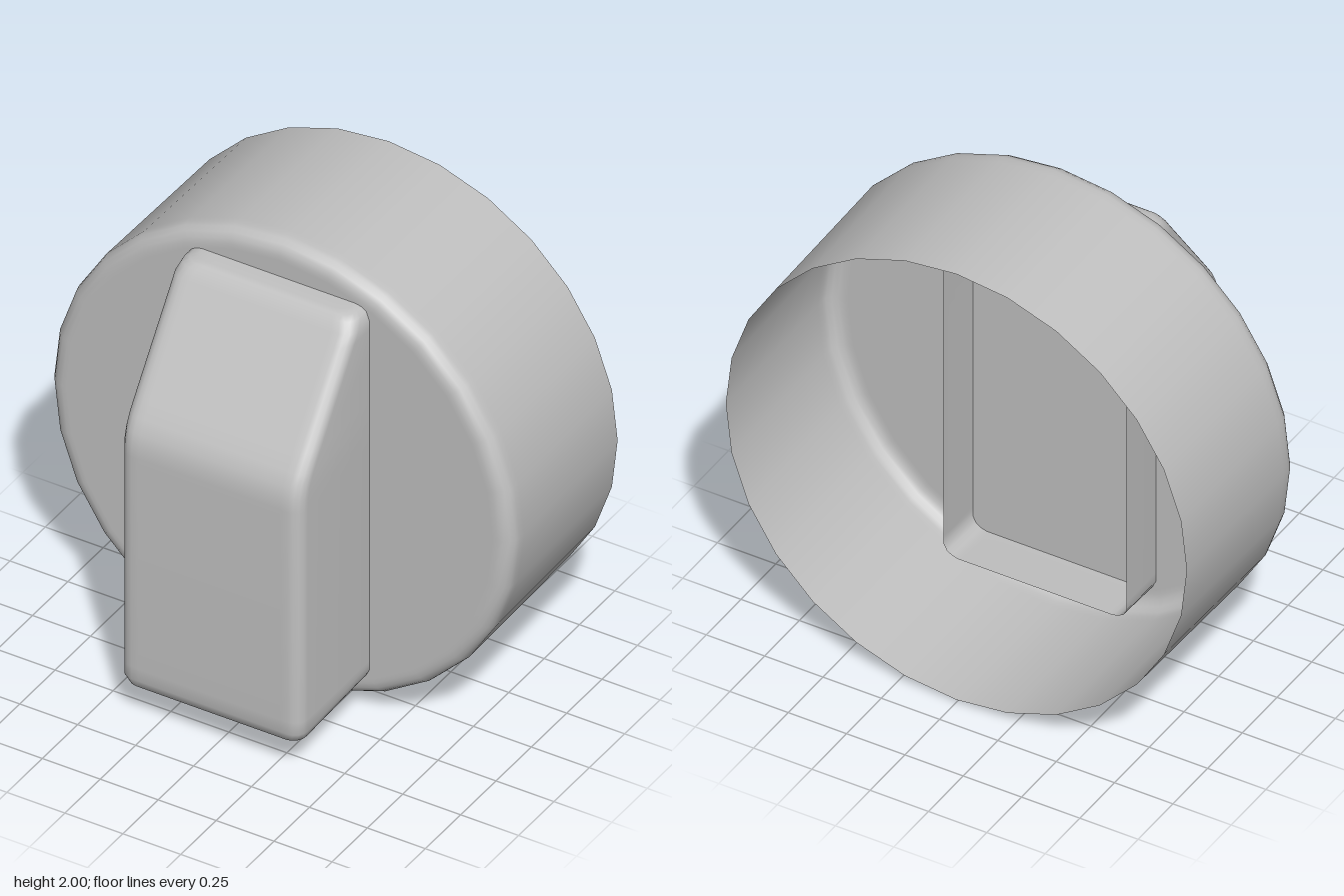
import * as THREE from 'three';
import { toCreasedNormals } from 'three/addons/utils/BufferGeometryUtils.js';

const grey = new THREE.MeshStandardMaterial({ color: 0xc0c0c0, side: THREE.DoubleSide });
grey.name = 'plain grey';

// Round open-backed cup: slightly tapered wall, rounded front edge, flat face
function dialCup() {
  const points = [new THREE.Vector2(0.988, -0.63), new THREE.Vector2(0.999, 0.05)];
  for (let i = 0; i <= 4; i++) {
    const a = (i / 4) * Math.PI / 2;
    points.push(new THREE.Vector2(0.94 + 0.06 * Math.cos(a), 0.08 + 0.06 * Math.sin(a)));
  }
  points.push(new THREE.Vector2(0.92, 0.14), new THREE.Vector2(0, 0.14));
  return new THREE.LatheGeometry(points, 28).rotateX(Math.PI / 2);
}

// Hollow grip lofted upward from U-shaped sections, open at the rear inside the cup
function gripShell() {
  const rear = -0.07, halfWidth = 0.392, edge = 0.055;
  // height, front z, side inset, lean of the underside
  const rows = [
    [0.135, rear, 0.06, 0.05], [0.135, 0.56, 0.06, 0.05], [0.142, 0.595, 0.035, 0.05],
    [0.158, 0.617, 0.014, 0.045], [0.195, 0.63, 0, 0.03], [0.25, 0.63, 0, 0],
    [1.2, 0.63, 0, 0], [1.25, 0.627, 0, 0], [1.3, 0.614, 0, 0], [1.35, 0.588, 0, 0],
    [1.42, 0.538, 0, 0], [1.75, 0.298, 0, 0], [1.79, 0.27, 0, 0],
    [1.828, 0.242, 0.014, 0], [1.842, 0.225, 0.035, 0], [1.848, 0.2, 0.06, 0],
    [1.848, rear, 0.06, 0],
  ];
  const positions = [], indices = [];
  let perRow = 0;
  for (const [y, front, inset, lean] of rows) {
    const w = halfWidth - inset, closed = front === rear;
    const half = [[w, rear]];
    for (let i = 0; i <= 4; i++) {
      const a = (i / 4) * Math.PI / 2;
      half.push([w - edge + edge * Math.cos(a), closed ? rear : front - edge + edge * Math.sin(a)]);
    }
    half.push([w - edge - 0.03, front]);
    const section = [...half.map(([x, z]) => [-x, z]), ...half.slice().reverse()];
    perRow = section.length;
    for (const [x, z] of section) positions.push(x - 0.005, y + lean * (0.6 - z), z);
  }
  for (let r = 0; r < rows.length - 1; r++) {
    for (let c = 0; c < perRow - 1; c++) {
      const a = r * perRow + c, b = a + perRow;
      indices.push(a, a + 1, b + 1, a, b + 1, b);
    }
  }
  const geometry = new THREE.BufferGeometry();
  geometry.setAttribute('position', new THREE.Float32BufferAttribute(positions, 3));
  geometry.setIndex(indices);
  return toCreasedNormals(geometry, 0.7);
}

export function createModel() {
  const model = new THREE.Group();
  model.name = 'controlKnob';

  const cup = new THREE.Mesh(dialCup(), grey);
  cup.name = 'dialCup';
  cup.position.y = 1;

  const grip = new THREE.Mesh(gripShell(), grey);
  grip.name = 'fingerGrip';

  model.add(cup, grip);
  return model;
}
